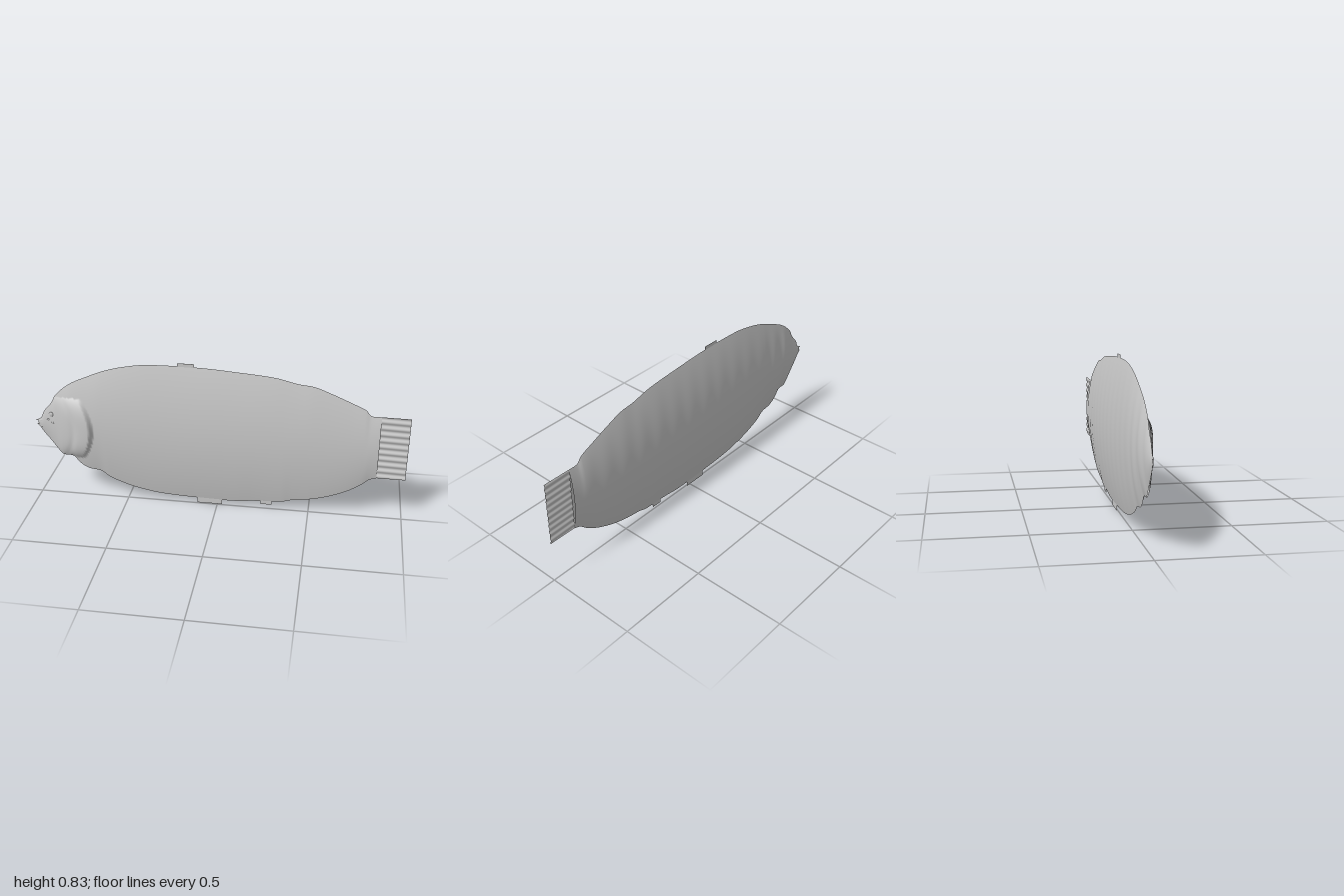
import * as THREE from 'three';
import { ParametricGeometry } from 'three/addons/geometries/ParametricGeometry.js';

const MID = -0.006; // z of the seam plane
const X0 = -0.985, X1 = 0.85;

// Profile tables: [x, value]
const TOP = [[-0.985, 0.452], [-0.965, 0.465], [-0.95, 0.5], [-0.9, 0.56], [-0.88, 0.6], [-0.8, 0.67], [-0.7, 0.72],
  [-0.6, 0.762], [-0.5, 0.79], [-0.37, 0.81], [-0.1, 0.812], [0.1, 0.8], [0.3, 0.782], [0.42, 0.755], [0.5, 0.745],
  [0.6, 0.708], [0.7, 0.665], [0.77, 0.632], [0.795, 0.603], [0.85, 0.6]];
const BOTTOM = [[-0.985, 0.425], [-0.965, 0.385], [-0.92, 0.325], [-0.87, 0.26], [-0.855, 0.245], [-0.8, 0.238],
  [-0.77, 0.2], [-0.72, 0.168], [-0.65, 0.155], [-0.6, 0.12], [-0.5, 0.08], [-0.4, 0.055], [-0.3, 0.04], [-0.1, 0.03],
  [0.1, 0.028], [0.2, 0.038], [0.35, 0.046], [0.4, 0.06], [0.5, 0.075], [0.6, 0.102], [0.7, 0.145], [0.77, 0.19],
  [0.81, 0.225], [0.85, 0.24]];
const FRONT = [[-0.985, 0.003], [-0.9, 0.013], [-0.8, 0.025], [-0.6, 0.034], [-0.3, 0.039], [0, 0.041], [0.4, 0.034], [0.85, 0.018]];
const BACK = [[-0.985, 0.004], [-0.9, 0.018], [-0.8, 0.03], [-0.6, 0.039], [-0.3, 0.045], [0, 0.047], [0.4, 0.041], [0.85, 0.022]];

// Smooth cubic lookup in a profile table
function sample(table, x) {
  let i = 0;
  while (i < table.length - 2 && x > table[i + 1][0]) i++;
  const slope = (k) => {
    const a = table[Math.max(k - 1, 0)], b = table[Math.min(k + 1, table.length - 1)];
    return (b[1] - a[1]) / (b[0] - a[0]);
  };
  const [xa, ya] = table[i], [xb, yb] = table[i + 1];
  const h = xb - xa, t = THREE.MathUtils.clamp((x - xa) / h, 0, 1), s = 1 - t;
  return ya * (1 + 2 * t) * s * s + yb * t * t * (3 - 2 * t) + h * (slope(i) * t * s * s - slope(i + 1) * t * t * s);
}

// Gill cover: swells toward a curved rear edge, then drops off
function gill(x, y) {
  const t = (y - 0.415) / 0.18;
  if (Math.abs(t) >= 1) return 0;
  const edge = -0.695 - 0.06 * t * t;
  const rise = THREE.MathUtils.smoothstep(x, edge - 0.24, edge);
  const drop = 1 - THREE.MathUtils.smoothstep(x, edge, edge + 0.025);
  const groove = 0.003 * Math.exp(-(((x - edge + 0.085) / 0.018) ** 2));
  return (0.027 * rise * drop - groove) * (1 - t ** 4);
}

function frontZ(x, y) {
  const a = sample(BOTTOM, x), b = sample(TOP, x);
  const t = (2 * y - a - b) / (b - a);
  return MID + sample(FRONT, x) * (1 - t * t) + gill(x, y);
}

function backZ(x, y) {
  const a = sample(BOTTOM, x), b = sample(TOP, x);
  const t = (2 * y - a - b) / (b - a);
  const ripple = 0.0007 * Math.sin(x * 52) + (x < -0.6 ? 0.0012 * Math.sin(x * 60) : 0);
  return MID - (sample(BACK, x) + ripple) * (1 - t * t);
}

export function createModel() {
  const group = new THREE.Group();
  const grey = new THREE.MeshStandardMaterial({ color: 0xcccccc, side: THREE.DoubleSide });
  grey.name = 'pale grey';

  function add(name, geometry, x = 0, y = 0, z = 0) {
    const mesh = new THREE.Mesh(geometry, grey);
    mesh.name = name;
    mesh.position.set(x, y, z);
    group.add(mesh);
    return mesh;
  }

  // Body halves, meeting in a sharp seam and open at the tail
  function side(zAt, flip) {
    return new ParametricGeometry((u, v, p) => {
      const x = X0 + (X1 - X0) * u;
      const w = flip ? 1 - v : v;
      const y = THREE.MathUtils.lerp(sample(BOTTOM, x), sample(TOP, x), w);
      p.set(x, y, zAt(x, y));
    }, 220, 48);
  }
  add('frontBodySide', side(frontZ, false));
  add('backBodySide', side(backZ, true));

  // Rippled tail sheet
  add('tail', new ParametricGeometry((u, v, p) => {
    const x = 0.845 + 0.155 * u;
    const y = 0.24 + 0.36 * v;
    p.set(x, y, MID + 0.0025 * Math.sin(v * Math.PI * 20 + u * 0.8));
  }, 8, 160));

  // Thin fin tabs: [name, x from, x to, y from, y to]
  for (const [name, xa, xb, ya, yb] of [
    ['dorsalFin', -0.21, -0.12, 0.8, 0.83],
    ['bellyFin', -0.11, 0.025, 0, 0.04],
    ['analFin', 0.24, 0.3, 0.022, 0.05],
  ]) {
    add(name, new THREE.BoxGeometry(xb - xa, yb - ya, 0.001), (xa + xb) / 2, (ya + yb) / 2, MID);
  }

  // Parted jaws
  for (const [name, y, length, tilt] of [['upperJaw', 0.446, 0.04, 1.45], ['lowerJaw', 0.418, 0.035, 1.15]]) {
    const jaw = add(name, new THREE.ConeGeometry(0.013, length, 12), -0.98, y, MID);
    jaw.rotation.z = tilt;
    jaw.scale.z = 0.4;
  }

  // Eye and nostrils as low bumps on the front side
  for (const [name, x, y, r] of [['eye', -0.905, 0.49, 0.013], ['upperNostril', -0.925, 0.455, 0.007], ['lowerNostril', -0.9, 0.44, 0.007]]) {
    add(name, new THREE.SphereGeometry(r, 16, 12), x, y, frontZ(x, y)).scale.z = 0.35;
  }

  return group;
}
